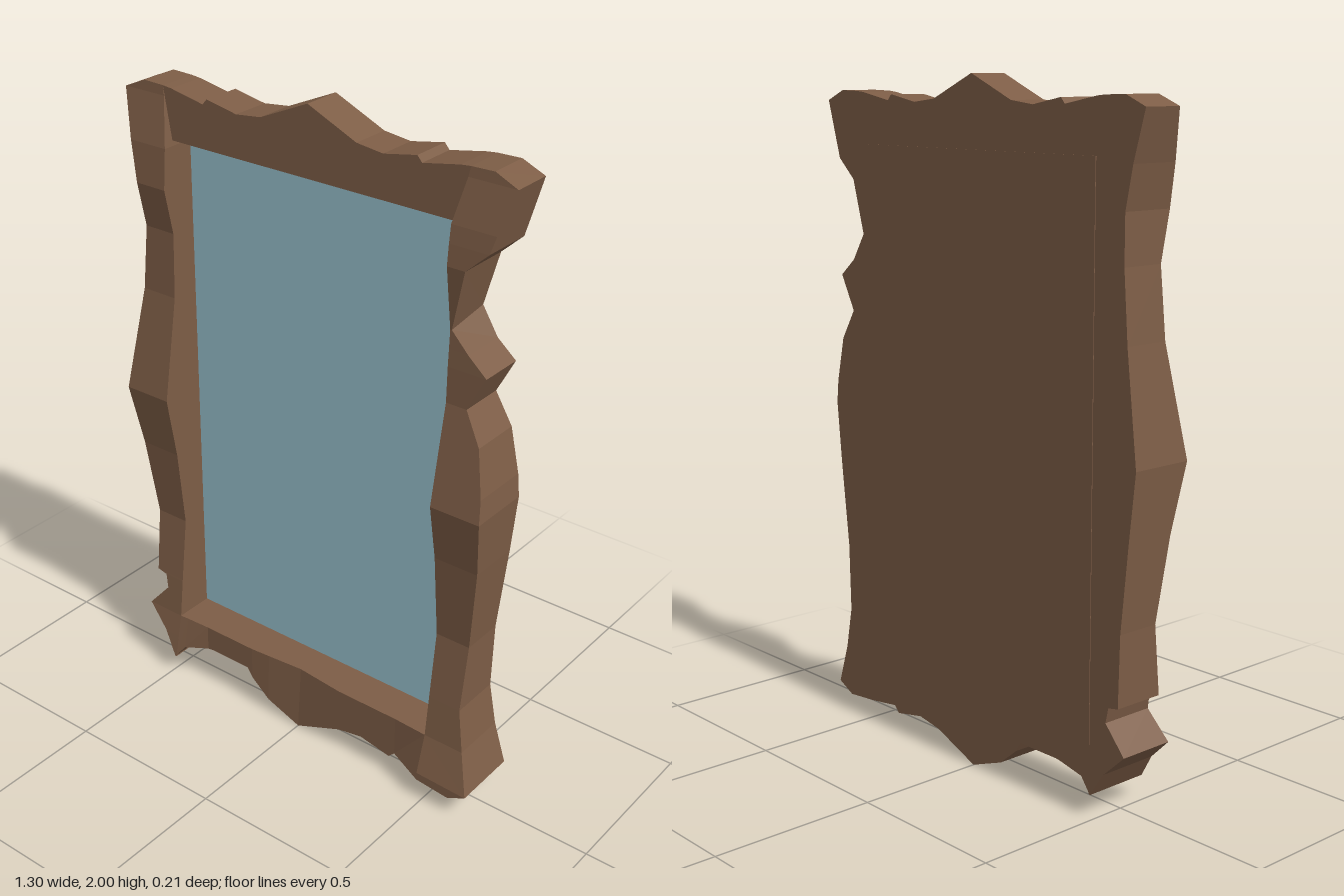
import * as THREE from 'three';

const BACK = -0.105, INX = 0.48, LOW = 0.21, HIGH = 1.795;

// Skins a row of four-cornered cross-sections, closes both ends and turns the faces outward.
function loft(sections) {
  const tris = [];
  const quad = (a, b, c, d) => tris.push([a, b, c], [a, c, d]);
  for (let i = 0; i < sections.length - 1; i++) {
    const s = sections[i], t = sections[i + 1];
    for (let k = 0; k < 4; k++) quad(s[k], s[(k + 1) % 4], t[(k + 1) % 4], t[k]);
  }
  const last = sections[sections.length - 1];
  quad(sections[0][3], sections[0][2], sections[0][1], sections[0][0]);
  quad(last[0], last[1], last[2], last[3]);
  let volume = 0;
  for (const [a, b, c] of tris) volume += a.dot(b.clone().cross(c));
  const points = tris.flatMap(([a, b, c]) => (volume < 0 ? [a, c, b] : [a, b, c]));
  const geometry = new THREE.BufferGeometry().setFromPoints(points);
  geometry.computeVertexNormals();
  return geometry;
}

// Section from the outer edge to the inner edge, extruded to the flat back.
function section(ox, oy, oz, ix, iy, iz, backX = ox, backY = oy) {
  return [
    new THREE.Vector3(ox, oy, oz), new THREE.Vector3(ix, iy, iz),
    new THREE.Vector3(ix, iy, BACK), new THREE.Vector3(backX, backY, BACK),
  ];
}

export function createModel() {
  const group = new THREE.Group();
  const wood = new THREE.MeshStandardMaterial({ color: 0x7d5d46, flatShading: true });
  const glass = new THREE.MeshStandardMaterial({ color: 0x97bfcc });
  const add = (name, geometry, material) => {
    const mesh = new THREE.Mesh(geometry, material);
    mesh.name = name;
    group.add(mesh);
  };

  // Side stiles: outer x, y, front z, then inner x and y where they differ
  const leftSide = [
    [0.59, 0.055, 0.105, INX, 0.065], [0.65, 0.085, 0.105, INX, 0.09],
    [0.61, 0.21, 0.07], [0.585, 0.34, 0.055], [0.59, 0.55, 0.03], [0.62, 0.82, 0.057],
    [0.637, 1.0, 0.09], [0.63, 1.07, 0.077], [0.6, 1.205, 0.052], [0.545, 1.295, 0.035],
    [0.6, 1.4, 0.034], [0.54, 1.45, 0.032], [0.485, 1.505, 0.03, INX, 1.505, 0.49, 1.53],
    [0.535, 1.69, 0.058], [0.6, 1.75, 0.053], [0.615, 1.8, 0.047],
    [0.65, 1.92, 0.018, 0.505, 1.92], [0.58, 1.95, 0.015, 0.51, 1.948],
  ];
  const rightSide = [
    [0.485, 0.065, 0.1, INX, 0.066], [0.535, 0.14, 0.085], [0.61, 0.21, 0.07],
    [0.54, 0.29, 0.061], [0.55, 0.335, 0.056], [0.585, 0.342, 0.055], [0.59, 0.55, 0.03],
    [0.615, 0.8, 0.055], [0.637, 1.0, 0.09], [0.6, 1.32, 0.036], [0.585, 1.52, 0.03],
    [0.585, 1.66, 0.06], [0.61, 1.78, 0.05], [0.65, 1.92, 0.018, 0.505, 1.92],
    [0.58, 1.95, 0.015, 0.51, 1.948],
  ];
  const stile = (rows, sign) => loft(rows.map(([x, y, z, ix = INX, iy = y, bx = x, by = y]) =>
    section(sign * x, y, z, sign * ix, iy, z, sign * bx, by)));
  add('leftStile', stile(leftSide, 1), wood);
  add('rightStile', stile(rightSide, -1), wood);

  // Top rail: one half of the crest, mirrored
  const crest = [
    [0, 2], [0.16, 1.93], [0.245, 1.92], [0.35, 1.94], [0.365, 1.923], [0.48, 1.945], [0.51, 1.948],
  ];
  const crestLine = [...crest.slice(1).reverse().map(([x, y]) => [-x, y]), ...crest];
  add('topRail', loft(crestLine.map(([x, y]) => section(x, y, 0.015, x, HIGH, 0.015))), wood);

  // Bottom rail: x, outer y, outer z, inner z
  const apron = [
    [-0.48, 0.07, 0.1, 0.07], [-0.45, 0.11, 0.09, 0.068], [-0.37, 0.127, 0.065, 0.065],
    [-0.35, 0.13, 0.065, 0.065], [-0.205, 0.13, 0.065, 0.065], [-0.185, 0.1, 0.065, 0.065],
    [-0.12, 0.045, 0.065, 0.06], [0, 0, 0.065, 0.05], [0.16, 0.065, 0.065, 0.065],
    [0.245, 0.08, 0.065, 0.065], [0.35, 0.06, 0.065, 0.065], [0.37, 0.08, 0.065, 0.065],
    [0.48, 0.065, 0.105, 0.07],
  ];
  add('bottomRail', loft(apron.map(([x, y, z, iz]) => section(x, y, z, x, LOW, iz))), wood);

  // Mirror pane set back in the frame, and the board behind it
  const pane = new THREE.PlaneGeometry(2 * INX, HIGH - LOW);
  pane.translate(0, (LOW + HIGH) / 2, -0.055);
  add('mirrorPane', pane, glass);
  const board = new THREE.BoxGeometry(2 * INX, HIGH - LOW, 0.047);
  board.translate(0, (LOW + HIGH) / 2, -0.0835);
  add('backBoard', board, wood);

  return group;
}
